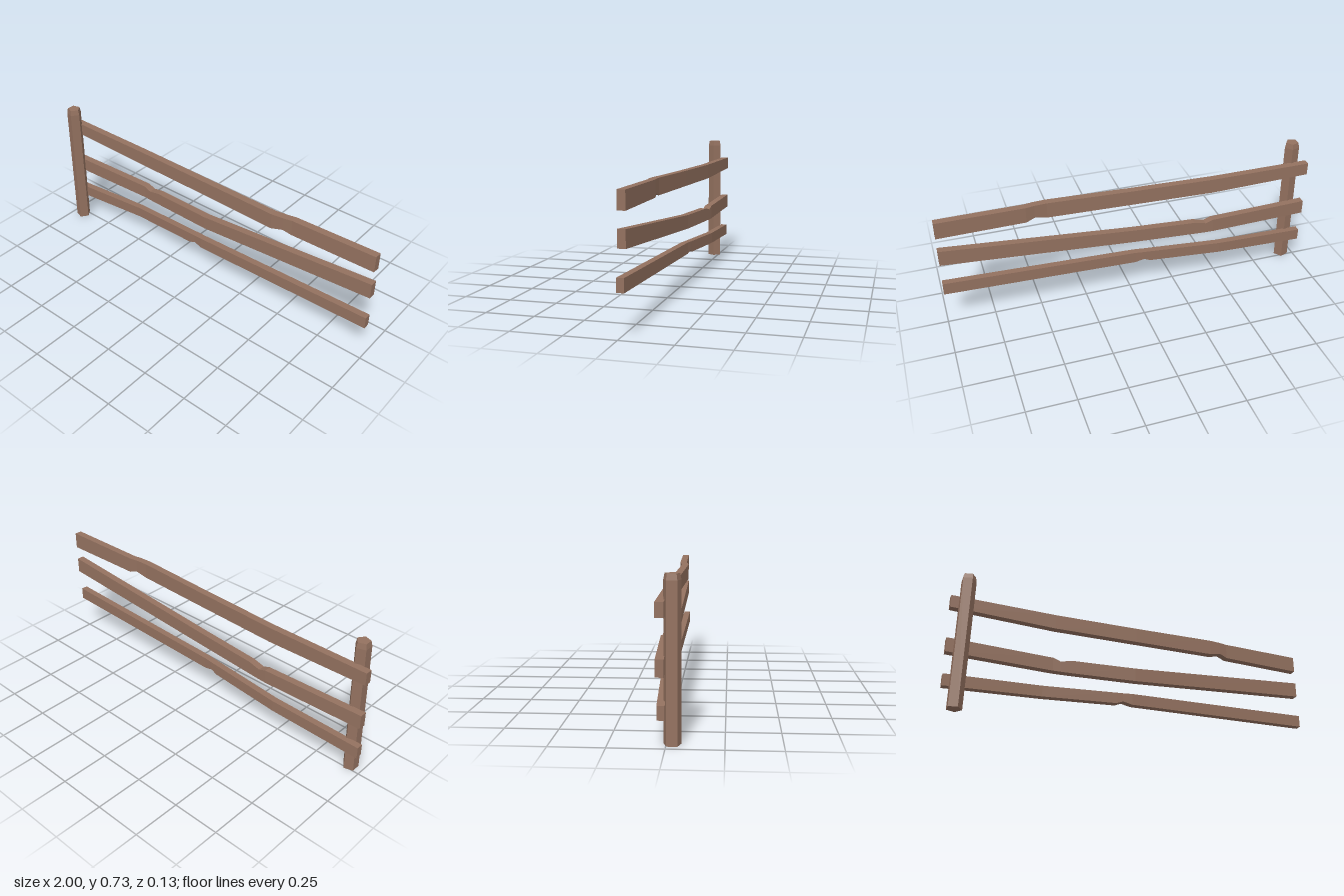
import * as THREE from 'three';

const wood = new THREE.MeshStandardMaterial({ color: 0x93715f, flatShading: true });

// Plank through stations [x, bottom y, top y, centre z]
function rail(name, depth, stations) {
  const n = stations.length - 1;
  const geo = new THREE.BoxGeometry(n, 1, 1, n, 1, 1);
  const p = geo.attributes.position;
  for (let i = 0; i < p.count; i++) {
    const [x, y0, y1, z] = stations[Math.round(p.getX(i) + n / 2)];
    p.setXYZ(i, x, p.getY(i) > 0 ? y1 : y0, z + p.getZ(i) * depth);
  }
  geo.computeVertexNormals();
  const mesh = new THREE.Mesh(geo, wood);
  mesh.name = name;
  return mesh;
}

// Five-sided post with a chamfered top, leaning slightly sideways
function post() {
  const profile = [[0, 0], [0.04, 0], [0.04, 0.702], [0.034, 0.73], [0, 0.73]]
    .map(([r, y]) => new THREE.Vector2(r, y));
  const geo = new THREE.LatheGeometry(profile, 5, Math.PI / 2);
  const p = geo.attributes.position;
  for (let i = 0; i < p.count; i++) p.setX(i, p.getX(i) + p.getY(i) * 0.015);
  geo.computeVertexNormals();
  const mesh = new THREE.Mesh(geo, wood);
  mesh.name = 'post';
  mesh.position.set(-0.936, 0, 0.026);
  return mesh;
}

export function createModel() {
  const group = new THREE.Group();
  group.name = 'fence';
  group.add(
    post(),
    // Top rail, notched underneath
    rail('topRail', 0.038, [
      [-1, 0.553, 0.62, -0.023], [-0.45, 0.541, 0.62, -0.023], [0, 0.545, 0.625, -0.011],
      [0.44, 0.548, 0.632, 0.003], [0.505, 0.565, 0.634, -0.004], [0.55, 0.551, 0.635, -0.013],
      [1, 0.552, 0.64, -0.023]]),
    // Middle rail, notched on top
    rail('middleRail', 0.038, [
      [-1, 0.305, 0.381, -0.023], [-0.45, 0.308, 0.381, -0.044], [-0.41, 0.308, 0.366, -0.042],
      [-0.345, 0.309, 0.38, -0.039], [0, 0.318, 0.391, -0.023], [1, 0.393, 0.476, -0.023]]),
    // Bottom rail, notched underneath
    rail('bottomRail', 0.035, [
      [-1, 0.122, 0.185, -0.018], [-0.5, 0.154, 0.213, -0.038], [-0.105, 0.175, 0.234, -0.022],
      [-0.07, 0.19, 0.236, -0.021], [-0.02, 0.178, 0.239, -0.018], [1, 0.205, 0.27, -0.015]])
  );
  return group;
}
